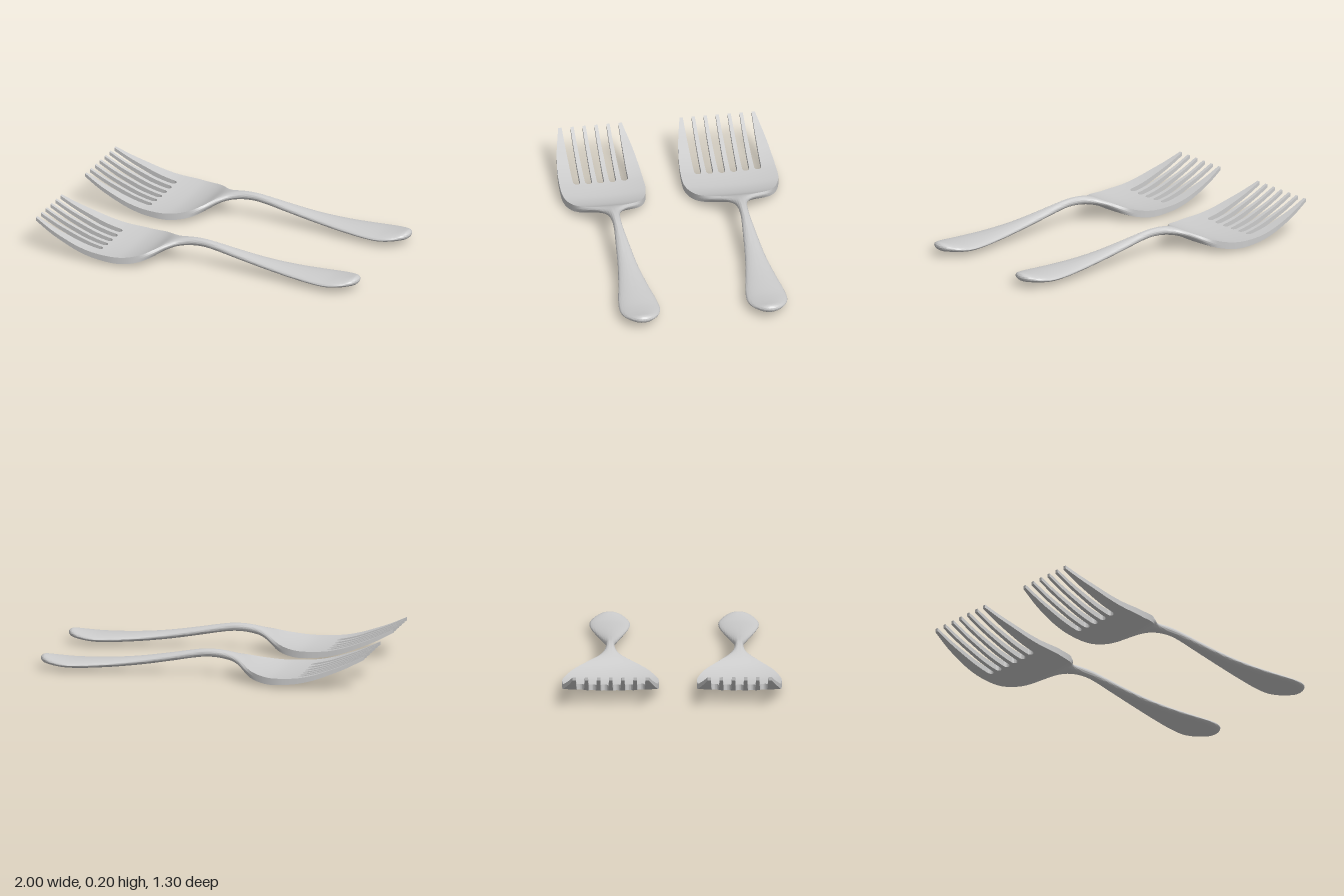
import * as THREE from 'three';
import { toCreasedNormals } from 'three/addons/utils/BufferGeometryUtils.js';

const material = new THREE.MeshStandardMaterial({ color: 0xcccccc });
const ROOT = -0.59; // where the slots end
const SLOT_PITCH = 0.0717;

// Smooth interpolation through [x, value] pairs
function curve(pts) {
  const n = pts.length;
  const slope = (i) => {
    const a = pts[Math.max(i - 1, 0)], b = pts[Math.min(i + 1, n - 1)];
    return (b[1] - a[1]) / (b[0] - a[0]);
  };
  return (x) => {
    let i = 0;
    while (i < n - 2 && x > pts[i + 1][0]) i++;
    const [x0, y0] = pts[i], [x1, y1] = pts[i + 1];
    const d = x1 - x0, t = THREE.MathUtils.clamp((x - x0) / d, 0, 1), t2 = t * t, t3 = t2 * t;
    return (2 * t3 - 3 * t2 + 1) * y0 + (t3 - 2 * t2 + t) * d * slope(i)
      + (3 * t2 - 2 * t3) * y1 + (t3 - t2) * d * slope(i + 1);
  };
}

// Rounding factor that falls to zero at x = 1
const endCap = (x, start) => x <= start ? 1
  : Math.sqrt(Math.max(0, 1 - ((x - start) / (1 - start)) ** 2));

// Side profile: height of the middle, thickness, and cross-wise dish of the blade
const height = curve([[-1, 0.19], [-0.9, 0.138], [-0.8, 0.095], [-0.7, 0.057], [-0.6, 0.032],
  [-0.46, 0.02], [-0.38, 0.029], [-0.3, 0.053], [-0.2, 0.104], [-0.1, 0.129], [0, 0.134],
  [0.1, 0.121], [0.2, 0.103], [0.4, 0.071], [0.6, 0.05], [0.8, 0.041], [0.9, 0.047], [1, 0.062]]);
const thickness = curve([[-1, 0.02], [-0.8, 0.027], [-0.6, 0.034], [-0.46, 0.04], [-0.3, 0.043],
  [-0.15, 0.05], [0, 0.048], [0.4, 0.05], [0.8, 0.052], [1, 0.05]]);
const dish = curve([[-1, 0], [-0.8, 0.006], [-0.6, 0.013], [-0.46, 0.015], [-0.3, 0.008], [-0.15, 0], [1, 0]]);

// Half width of the fork seen from above
const handleWidths = [[-0.2, 0.087], [-0.15, 0.05], [-0.1, 0.033], [-0.03, 0.026], [0.05, 0.027],
  [0.2, 0.04], [0.4, 0.06], [0.6, 0.09], [0.72, 0.11], [0.82, 0.12], [1, 0.12]];
const wideFork = {
  z: -0.365, slots: 6,
  width: curve([[-1, 0.225], [-0.85, 0.257], [-0.7, 0.277], [-0.55, 0.285], [-0.47, 0.28],
    [-0.38, 0.25], [-0.3, 0.2], [-0.25, 0.15], ...handleWidths]),
};
const narrowFork = {
  z: 0.395, slots: 5,
  width: curve([[-1, 0.19], [-0.85, 0.223], [-0.7, 0.243], [-0.55, 0.25], [-0.47, 0.247],
    [-0.38, 0.225], [-0.3, 0.182], [-0.25, 0.138], ...handleWidths]),
};

// Sweeps a cross-section along x; range(x) gives its two z limits.
// The section is a slab in the blade and turns to an ellipse in the handle.
function sweep(xs, range, width, sides, capStart) {
  const pos = [], index = [];
  xs.forEach((x, i) => {
    const [lo, hi] = range(x);
    const round = THREE.MathUtils.smoothstep(x, -0.34, -0.14);
    const half = thickness(x) / 2 * endCap(x, 0.965);
    for (let j = 0; j < sides; j++) {
      const a = (j / sides) * Math.PI * 2, c = Math.cos(a), s = Math.sin(a);
      const k = THREE.MathUtils.lerp(1 / Math.max(Math.abs(c), Math.abs(s)), 1, round);
      const z = (lo + hi) / 2 + c * k * (hi - lo) / 2;
      const across = z / Math.max(width(x), 0.01);
      pos.push(x, height(x) + s * k * half + dish(x) * across * across, z);
      if (i < xs.length - 1) {
        const p = i * sides + j, q = i * sides + (j + 1) % sides;
        index.push(p, p + sides, q, q, p + sides, q + sides);
      }
    }
  });
  if (capStart) {
    const [lo, hi] = range(xs[0]);
    pos.push(xs[0], height(xs[0]), (lo + hi) / 2);
    for (let j = 0; j < sides; j++) index.push(pos.length / 3 - 1, j, (j + 1) % sides);
  }
  const geo = new THREE.BufferGeometry();
  geo.setAttribute('position', new THREE.Float32BufferAttribute(pos, 3));
  geo.setIndex(index);
  return toCreasedNormals(geo, 0.65);
}

function part(name, geometry) {
  const mesh = new THREE.Mesh(geometry, material);
  mesh.name = name;
  return mesh;
}

// Half width of a slot, tapering slightly and ending in a half circle
function slotHalf(x) {
  const r = 0.021, start = ROOT - r;
  if (x <= start) return THREE.MathUtils.mapLinear(x, -1, start, 0.026, r);
  return Math.sqrt(Math.max(0, r * r - (x - start) ** 2));
}

function makeFork(name, { z, slots, width }) {
  const fork = new THREE.Group();
  fork.name = name;
  fork.position.z = z;

  // Blade, neck and handle in one sweep, with finer steps at the rounded end
  const bodyXs = [];
  for (let i = 0; i < 60; i++) bodyXs.push(THREE.MathUtils.lerp(ROOT, 0.82, i / 60));
  for (let i = 0; i <= 24; i++) bodyXs.push(0.82 + 0.18 * Math.sin((i / 24) * Math.PI / 2));
  const outline = (x) => width(x) * endCap(x, 0.82);
  fork.add(part('bladeAndHandle', sweep(bodyXs, (x) => [-outline(x), outline(x)], width, 64, false)));

  // Tines fill the space between neighbouring slots
  const tineXs = [];
  for (let i = 0; i < 20; i++) tineXs.push(THREE.MathUtils.lerp(-1, ROOT - 0.021, i / 20));
  for (let i = 0; i <= 8; i++) tineXs.push(ROOT - 0.021 + 0.021 * Math.sin((i / 8) * Math.PI / 2));
  const slotZ = (i) => (i - (slots - 1) / 2) * SLOT_PITCH;
  for (let i = 0; i <= slots; i++) {
    const range = (x) => [
      i === 0 ? -width(x) : slotZ(i - 1) + slotHalf(x),
      i === slots ? width(x) : slotZ(i) - slotHalf(x),
    ];
    fork.add(part('tine' + (i + 1), sweep(tineXs, range, width, 16, true)));
  }
  return fork;
}

export function createModel() {
  const model = new THREE.Group();
  model.name = 'forkPair';
  model.add(makeFork('wideFork', wideFork), makeFork('narrowFork', narrowFork));
  return model;
}
